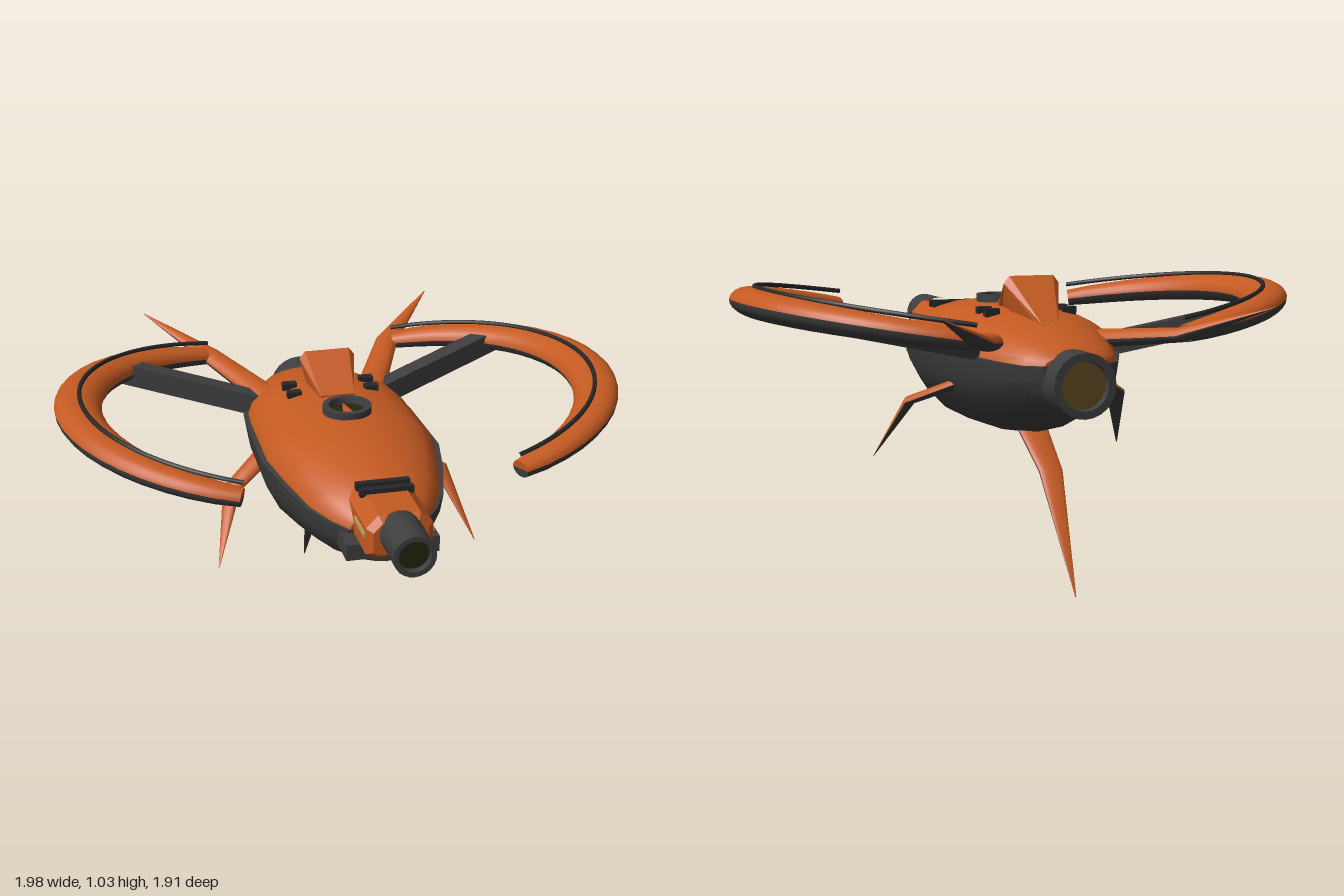
import * as THREE from 'three';
import { toCreasedNormals } from 'three/addons/utils/BufferGeometryUtils.js';

const mat = (name, color, side = THREE.FrontSide) => {
  const m = new THREE.MeshStandardMaterial({ color, side });
  m.name = name;
  return m;
};
const V = (x, y, z) => new THREE.Vector3(x, y, z);

// Solid half tube through sections {c, w, h}: the arc a0..a0+PI closed by its chord.
function halfTube(sections, up, lower, dir) {
  const n = 10, rows = [], pos = [];
  sections.forEach((s, i) => {
    const a = sections[Math.max(i - 1, 0)].c;
    const b = sections[Math.min(i + 1, sections.length - 1)].c;
    const t = (dir || b.clone().sub(a)).clone().normalize();
    const side = up.clone().cross(t).normalize();
    const u = t.clone().cross(side);
    const row = [];
    for (let j = 0; j <= n; j++) {
      const ang = (lower ? Math.PI : 0) + Math.PI * j / n;
      row.push(s.c.clone().addScaledVector(side, s.w * Math.cos(ang)).addScaledVector(u, s.h * Math.sin(ang)));
    }
    rows.push(row);
  });
  const tri = (...p) => p.forEach(v => pos.push(v.x, v.y, v.z));
  const m = n + 1, last = rows.length - 1;
  for (let j = 0; j < m; j++) {
    const k = (j + 1) % m;
    for (let i = 0; i < last; i++) {
      tri(rows[i][j], rows[i][k], rows[i + 1][j]);
      tri(rows[i][k], rows[i + 1][k], rows[i + 1][j]);
    }
    tri(sections[0].c, rows[0][k], rows[0][j]);
    tri(sections[last].c, rows[last][j], rows[last][k]);
  }
  const g = new THREE.BufferGeometry();
  g.setAttribute('position', new THREE.Float32BufferAttribute(pos, 3));
  return toCreasedNormals(g, 0.6);
}

export function createModel() {
  const model = new THREE.Group();
  const orange = mat('orange shell', 0xc45a22);
  const dark = mat('dark metal', 0x3e3e3e);
  const black = mat('black trim', 0x262829);
  const lens = mat('olive lens', 0x24240f);
  const glow = mat('brown engine glow', 0x5e4722);
  const tan = mat('tan light', 0xc09c60);

  const add = (name, geo, material, x = 0, y = 0, z = 0) => {
    const mesh = new THREE.Mesh(geo, material);
    mesh.name = name;
    mesh.position.set(x, y, z);
    model.add(mesh);
    return mesh;
  };
  const box = (name, m, w, h, d, x, y, z) => add(name, new THREE.BoxGeometry(w, h, d), m, x, y, z);

  // Hull: z, half width, seam, top, bottom
  const hull = [
    [-0.645, 0.11, 0.77, 0.80, 0.63], [-0.6, 0.175, 0.77, 0.835, 0.605], [-0.48, 0.23, 0.775, 0.875, 0.56],
    [-0.32, 0.295, 0.785, 0.91, 0.505], [-0.22, 0.305, 0.79, 0.925, 0.49], [0.12, 0.315, 0.795, 0.93, 0.48],
    [0.3, 0.28, 0.785, 0.915, 0.52], [0.46, 0.235, 0.77, 0.88, 0.565], [0.55, 0.185, 0.76, 0.845, 0.595],
    [0.61, 0.13, 0.75, 0.80, 0.62],
  ];
  const zAxis = V(0, 0, 1), yAxis = V(0, 1, 0);
  add('upperHull', halfTube(hull.map(([z, w, y, t]) => ({ c: V(0, y, z), w: w * 0.94, h: t - y })), yAxis, false, zAxis), orange);
  add('lowerHull', halfTube(hull.map(([z, w, y, t, b]) => ({ c: V(0, y, z), w, h: y - b })), yAxis, true, zAxis), dark);

  // Hollow round housings with a recessed disc
  const housing = (name, r, len, x, y, z, rotX, discMat) => {
    const profile = [[r, 0], [r, len], [r * 0.76, len], [r * 0.72, len - 0.03]].map(p => new THREE.Vector2(...p));
    const group = new THREE.Group();
    const rim = new THREE.Mesh(toCreasedNormals(new THREE.LatheGeometry(profile, 24), 0.6), dark);
    const disc = new THREE.Mesh(new THREE.CylinderGeometry(r * 0.74, r * 0.74, 0.008, 24), discMat);
    rim.name = name + 'Rim';
    disc.name = name + 'Disc';
    disc.position.y = len - 0.026;
    group.add(rim, disc);
    group.name = name;
    group.position.set(x, y, z);
    group.rotation.x = rotX;
    model.add(group);
  };
  housing('engine', 0.108, 0.26, 0, 0.712, -0.48, -Math.PI / 2, glow);
  housing('barrel', 0.07, 0.19, 0, 0.81, 0.765, Math.PI / 2, lens);
  housing('topPort', 0.085, 0.06, 0, 0.89, 0.06, 0, lens);

  // Nose block with chamfered edges
  const nose = new THREE.Shape([[-0.09, -0.05], [-0.07, -0.06], [0.07, -0.06], [0.09, -0.05], [0.09, 0.02],
    [0.06, 0.05], [-0.06, 0.05], [-0.09, 0.02]].map(p => new THREE.Vector2(...p)));
  add('noseBlock', new THREE.ExtrudeGeometry(nose, {
    depth: 0.25, bevelEnabled: true, bevelSize: 0.02, bevelThickness: 0.025, bevelSegments: 1,
  }), orange, 0, 0.8, 0.515);
  box('noseBase', dark, 0.31, 0.055, 0.2, 0, 0.71, 0.595);
  for (const z of [0.55, 0.6]) box('noseBar', black, 0.18, 0.025, 0.024, 0, 0.873, z);

  // Raised dorsal wedge: z, bottom and top half widths, bottom and top heights
  const wedge = [
    [-0.43, 0.03, 0.03, 0.84, 0.885], [-0.25, 0.1, 0.08, 0.89, 1.035], [-0.08, 0.06, 0.06, 0.88, 0.93],
  ];
  const wp = [];
  const ring = wedge.map(([z, wb, wt, b, t]) => [V(wb * 0.7, b, z), V(wb, t - 0.025, z), V(wt, t, z), V(-wt, t, z), V(-wb, t - 0.025, z), V(-wb * 0.7, b, z)]);
  const tri = (...p) => p.forEach(v => wp.push(v.x, v.y, v.z));
  for (let j = 0; j < 6; j++) {
    const k = (j + 1) % 6;
    for (let i = 0; i < 2; i++) {
      tri(ring[i][j], ring[i][k], ring[i + 1][j]);
      tri(ring[i][k], ring[i + 1][k], ring[i + 1][j]);
    }
    if (j > 0 && j < 5) {
      tri(ring[0][0], ring[0][k], ring[0][j]);
      tri(ring[2][0], ring[2][j], ring[2][k]);
    }
  }
  const wedgeGeo = new THREE.BufferGeometry();
  wedgeGeo.setAttribute('position', new THREE.Float32BufferAttribute(wp, 3));
  wedgeGeo.computeVertexNormals();
  add('dorsalWedge', wedgeGeo, orange);

  // Two-tone tapering limb: orange on the up side, dark beneath
  const limb = (name, points, widths, up, hTop, hLow) => {
    const make = h => points.map((p, i) => ({ c: V(...p), w: widths[i], h: h * Math.min(1, widths[i] / widths[0]) }));
    add(name + 'Top', halfTube(make(hTop), up, false), orange);
    add(name + 'Underside', halfTube(make(hLow), up, true), dark);
  };
  limb('tailLeg', [[0, 0.56, -0.2], [0, 0.39, -0.44], [0, 0.005, -0.667]], [0.058, 0.042, 0.002], V(0, 1, -1), 0.014, 0.04);

  for (const s of [1, -1]) {
    // Curved wing, its dark underside and the trim wire along its top
    const up = V(-s * 0.15, 1, 0).normalize();
    const wing = [], wire = [], steps = 22;
    for (let i = 0; i <= steps; i++) {
      const t = i / steps, a = THREE.MathUtils.degToRad(-80 + 151 * t);
      const x = 0.25 + 0.66 * Math.cos(a);
      const c = V(s * x, 0.88 + 0.15 * (x - 0.45), -0.06 + 0.66 * Math.sin(a));
      const k = Math.pow(Math.max(0, Math.sin(Math.PI * t)), 0.7);
      wing.push({ c, w: 0.038 + 0.044 * k, h: 0.03 + 0.02 * k });
      wire.push(c.clone().addScaledVector(up, 0.052));
    }
    add('wingTop', halfTube(wing, up, false), orange);
    add('wingUnderside', halfTube(wing, up, true), dark);
    add('wingTrim', new THREE.TubeGeometry(new THREE.CatmullRomCurve3(wire), 44, 0.008, 6), black);

    // Strut from hull to wing
    const a = V(s * 0.2, 0.795, -0.355), b = V(s * 0.72, 0.915, -0.535);
    const strut = add('wingStrut', new THREE.BoxGeometry(0.065, 0.075, a.distanceTo(b)), dark);
    strut.position.copy(a).lerp(b, 0.5);
    strut.lookAt(b);

    // Rear arm with spike, and side claw
    limb('rearArm', [[s * 0.19, 0.82, -0.36], [s * 0.345, 0.862, -0.72], [s * 0.56, 0.965, -0.955]],
      [0.055, 0.042, 0.002], yAxis, 0.035, 0.03);
    limb('sideClaw', [[s * 0.24, 0.67, -0.21], [s * 0.385, 0.60, -0.09], [s * 0.468, 0.385, 0.085]],
      [0.04, 0.036, 0.002], V(s * 0.6, 0.7, 0.6), 0.022, 0.014);

    // Small hull vents and nose light slits
    for (const z of [-0.24, -0.16]) box('hullVent', black, 0.05, 0.04, 0.03, s * 0.14, 0.905, z);
    box('noseLight', tan, 0.008, 0.016, 0.13, s * 0.112, 0.803, 0.7);
  }
  return model;
}
